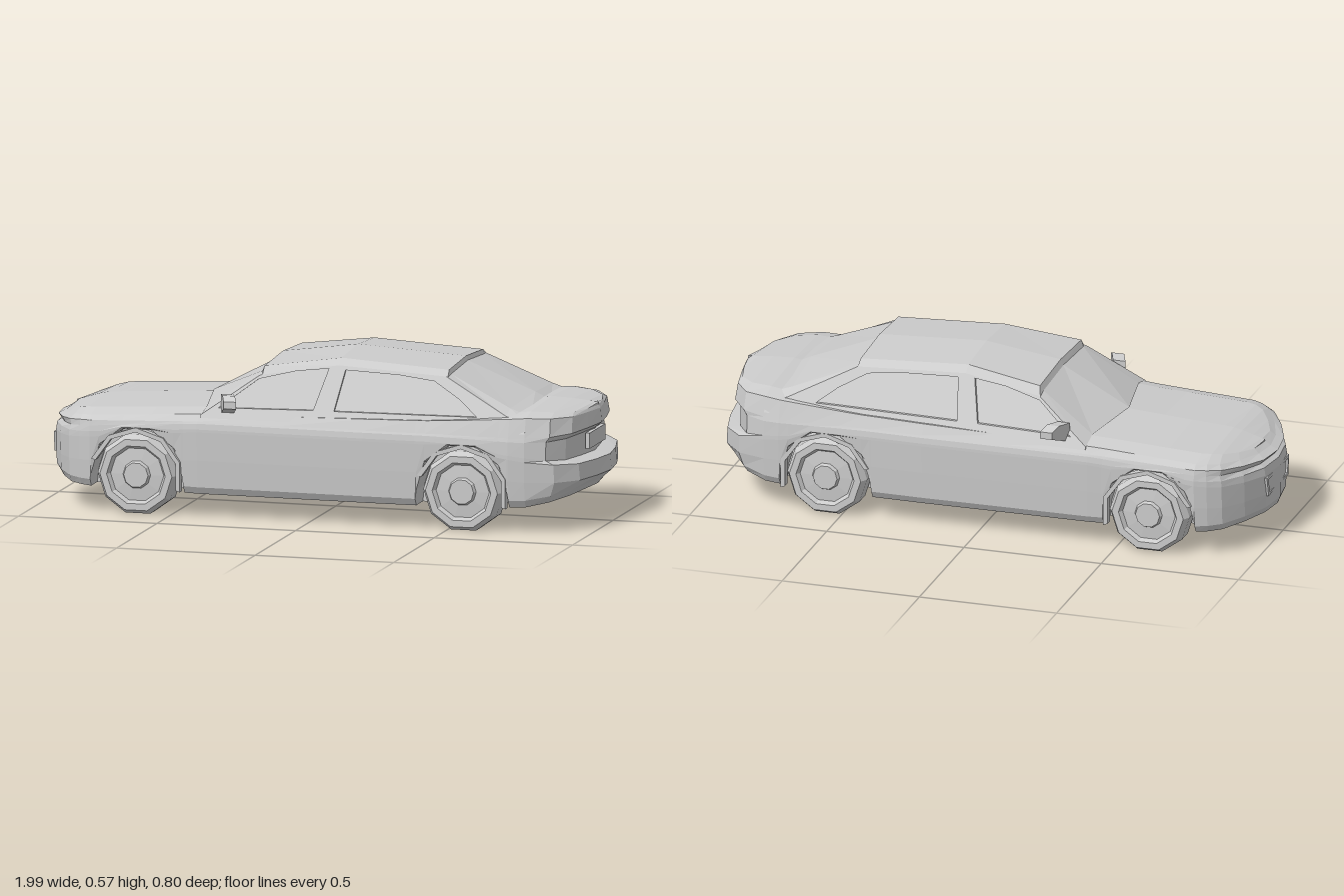
import * as THREE from 'three';

const mat = new THREE.MeshStandardMaterial({ color: 0xcccccc, flatShading: true, side: THREE.DoubleSide });
const clamp01 = (v) => Math.min(1, Math.max(0, v));

// Linear interpolation through a table of keys
function lerpTable(keys, vals, x) {
  if (x <= keys[0]) return vals[0];
  for (let i = 1; i < keys.length; i++) {
    if (x <= keys[i]) return vals[i - 1] + (vals[i] - vals[i - 1]) * (x - keys[i - 1]) / (keys[i] - keys[i - 1]);
  }
  return vals[vals.length - 1];
}

// Skin over rows of [x, y, z] points
function loft(rows, closed) {
  const n = rows[0].length, idx = [];
  for (let r = 0; r < rows.length - 1; r++) {
    for (let i = 0; i < (closed ? n : n - 1); i++) {
      const j = (i + 1) % n, a = r * n + i, b = r * n + j;
      idx.push(a, b, b + n, a, b + n, a + n);
    }
  }
  const g = new THREE.BufferGeometry();
  g.setAttribute('position', new THREE.Float32BufferAttribute(rows.flat(2), 3));
  g.setIndex(idx);
  g.computeVertexNormals();
  return g;
}

function add(parent, name, geometry) {
  const m = new THREE.Mesh(geometry, mat);
  m.name = name;
  parent.add(m);
  return m;
}

const shapeOf = (pts) => new THREE.Shape(pts.map(([x, y]) => new THREE.Vector2(x, y)));

function warp(g, rule) {
  const p = g.attributes.position;
  for (let i = 0; i < p.count; i++) p.setXYZ(i, ...rule(p.getX(i), p.getY(i), p.getZ(i)));
  g.computeVertexNormals();
  return g;
}

// Wheel arches: ten-sided cut-outs given as offset from the axle and height
const AXLES = [-0.62, 0.555], AXLE_Y = 0.138;
const ARCH_X = [-0.168, -0.163, -0.133, -0.051, 0.051, 0.133, 0.163, 0.168];
const ARCH_Y = [0, 0.138, 0.235, 0.295, 0.295, 0.235, 0.138, 0];
const archHeight = (x) => Math.max(...AXLES.map((c) => lerpTable(ARCH_X, ARCH_Y, x - c)));

// Lower body: rings stacked from the floor up to the bonnet and boot
function bodyGeometry() {
  const arch = (c, z) => ARCH_X.map((d) => [c + d, z]);
  const outline = [
    [-0.99, 0], [-0.975, 0.12], [-0.93, 0.22], [-0.875, 0.305], [-0.83, 0.335],
    ...arch(AXLES[0], 0.35), [-0.4, 0.353], [-0.1, 0.356], [0.2, 0.36],
    ...arch(AXLES[1], 0.358), [0.78, 0.35], [0.88, 0.32], [0.95, 0.24], [0.98, 0.12], [0.995, 0],
  ];
  const keys = [-1, -0.85, -0.4, 0.45, 0.8, 1];
  const floor = [0.1, 0.09, 0.08, 0.08, 0.092, 0.13];
  // heights along the keys, inset at nose, inset at tail, inset at the sides
  const rings = [
    [floor, 0.01, 0.05, 0.025],
    [floor.map((v) => v + 0.025), 0, 0.03, 0.01],
    [[0.17, 0.18, 0.2, 0.2, 0.18, 0.18], 0, 0, 0.004],
    [[0.24, 0.26, 0.3, 0.3, 0.25, 0.235], 0, 0.005, 0],
    [[0.27, 0.28, 0.31, 0.31, 0.265, 0.245], 0.005, 0.06, 0],
    [[0.28, 0.3, 0.33, 0.33, 0.32, 0.325], 0.022, 0.06, 0.003],
    [[0.295, 0.32, 0.337, 0.337, 0.335, 0.345], 0.008, 0.035, 0.007],
    [[0.308, 0.335, 0.36, 0.38, 0.405, 0.395], 0.035, 0.04, 0.025],
    [[0.322, 0.352, 0.375, 0.38, 0.42, 0.405], 0.055, 0.045, 0, 0.74],
    [[0.327, 0.36, 0.388, 0.385, 0.43, 0.415], 0.055, 0.045, 0, 0],
  ];
  const place = ([x, z], [ys, nose, tail, side, scale = 1], lift) => {
    const y = Math.max(lerpTable(keys, ys, x), archHeight(x) + lift);
    const dx = nose * clamp01((-0.8 - x) / 0.19) - tail * clamp01((x - 0.78) / 0.2);
    return [x + dx, y, Math.max(0, z - side) * scale];
  };
  const inner = outline.map((p) => {
    const q = place(p, rings[0], 0);
    return [q[0], q[1], Math.min(q[2], 0.25)];
  });
  const flat = inner.map(([x, , z], i) => [x, lerpTable(keys, floor, outline[i][0]), z]);
  const rows = [
    flat.map(([x, y]) => [x, y, 0]), flat, inner,
    ...rings.map((r, k) => outline.map((p) => place(p, r, k * 0.003))),
  ];
  const mirrored = (row) => row.slice(1, -1).reverse().map(([x, y, z]) => [x, y, -z]);
  return loft(rows.map((row) => [...row, ...mirrored(row)]), true);
}

// Roof, windscreen and rear window: [x, corner shift, edge y, rail z, rail y, centre y]
const ROOF = [
  [-0.44, 0.05, 0.36, 0.26, 0.378, 0.39],
  [-0.2, 0, 0.495, 0.222, 0.505, 0.518],
  [-0.19, 0, 0.498, 0.232, 0.525, 0.538],
  [0.08, 0, 0.54, 0.205, 0.562, 0.575],
  [0.47, 0, 0.522, 0.21, 0.54, 0.553],
  [0.476, 0, 0.519, 0.205, 0.525, 0.538],
  [0.72, -0.015, 0.405, 0.26, 0.425, 0.44],
  [0.78, 0, 0.385, 0.265, 0.4, 0.41],
];
const sideZ = (y) => 0.325 - (y - 0.38) * 0.57;

function roofGeometry() {
  return loft(ROOF.map(([x, s, ye, zr, yr, yc]) => [
    [x + s, ye, -sideZ(ye)], [x + s, yr, -zr], [x, yc, 0], [x + s, yr, zr], [x + s, ye, sideZ(ye)],
  ]), false);
}

// One side of the cabin, mirrored for the other
function cabinSide() {
  const side = new THREE.Group();
  const edge = [...ROOF.map(([x, s, ye]) => [x + s, ye]), [0.78, 0.35], [-0.39, 0.35]];
  const frame = shapeOf(edge);
  const windows = [
    [[-0.33, 0.385], [0.01, 0.392], [0.045, 0.528], [-0.07, 0.515], [-0.2, 0.484]],
    [[0.085, 0.392], [0.6, 0.397], [0.53, 0.45], [0.43, 0.505], [0.3, 0.519], [0.105, 0.526]],
  ];
  frame.holes = windows.map(shapeOf);
  const lean = (depth) => (x, y, z) => [x, y, sideZ(y) + z - depth];
  add(side, 'windowFrame', warp(new THREE.ExtrudeGeometry(frame, { depth: 0.014, bevelEnabled: false }), lean(0.014)));
  add(side, 'sideGlass', warp(new THREE.ShapeGeometry(shapeOf(edge)), lean(0.011)));

  // Door mirror, swept back towards its tip
  const mirror = shapeOf([[0.31, 0.41], [0.335, 0.372], [0.4, 0.397], [0.4, 0.422], [0.365, 0.437], [0.31, 0.432]]);
  add(side, 'doorMirror', warp(new THREE.ExtrudeGeometry(mirror, { depth: 0.045, bevelEnabled: false }),
    (z, y, d) => [-0.275 - d + (z - 0.31) * 0.4 - 0.005, y, z])); 
  return side;
}

function wheel() {
  const g = new THREE.Group();
  const profile = [[0, 0.26], [0.145, 0.26], [0.145, 0.324], [0.13, 0.35], [0.106, 0.35], [0.096, 0.334],
    [0.05, 0.338], [0.044, 0.351], [0, 0.351]].map(([r, z]) => new THREE.Vector2(r, z));
  const tyre = new THREE.LatheGeometry(profile, 10, Math.PI / 10);
  // a flat side rests on the ground
  tyre.rotateX(Math.PI / 2);
  tyre.rotateZ(Math.PI / 10 * (Math.abs(Math.cos(Math.PI / 10 * 5)) < 0.5 ? 0 : 1));
  tyre.computeBoundingBox();
  if (tyre.boundingBox.min.y < -0.142) tyre.rotateZ(Math.PI / 10);
  add(g, 'tyreAndRim', tyre);

  // Raised lip around the wheel arch
  const arc = (r) => [-1, 0, 1, 2, 3, 4].map((k) => {
    const a = Math.PI * k / 5;
    return [r * Math.cos(a), r * Math.sin(a)];
  });
  const ring = (r) => arc(r).map(([x, y]) => {
    const a = Math.atan2(y, x) + Math.PI / 10;
    return [r * Math.cos(a), r * Math.sin(a)];
  });
  const lip = shapeOf([...ring(0.168), ...ring(0.152).reverse()]);
  const lipMesh = add(g, 'archLip', new THREE.ExtrudeGeometry(lip, { depth: 0.03, bevelEnabled: false }));
  lipMesh.position.z = 0.326;
  return g;
}

export function createModel() {
  const car = new THREE.Group();
  car.name = 'sedan';
  add(car, 'body', bodyGeometry());
  add(car, 'roofAndScreens', roofGeometry());

  for (const s of [1, -1]) {
    const side = cabinSide();
    side.name = s > 0 ? 'leftCabinSide' : 'rightCabinSide';
    side.scale.z = s;
    car.add(side);
    AXLES.forEach((x, i) => {
      const w = wheel();
      w.name = (i ? 'rear' : 'front') + (s > 0 ? 'LeftWheel' : 'RightWheel');
      w.position.set(x, AXLE_Y, 0);
      w.scale.z = s;
      car.add(w);
    });
  }

  // Grille frame on the nose and plate panel on the tail
  const grille = shapeOf([[-0.11, 0.165], [0.11, 0.165], [0.125, 0.235], [-0.125, 0.235]]);
  grille.holes = [shapeOf([[-0.098, 0.175], [0.098, 0.175], [0.11, 0.225], [-0.11, 0.225]])];
  add(car, 'grilleFrame', warp(new THREE.ExtrudeGeometry(grille, { depth: 0.022, bevelEnabled: false }),
    (z, y, d) => [-0.992 + d + Math.abs(z) * 0.08, y, -z]));
  const plate = add(car, 'platePanel', new THREE.BoxGeometry(0.015, 0.055, 0.195));
  plate.position.set(0.937, 0.294, 0);
  return car;
}
